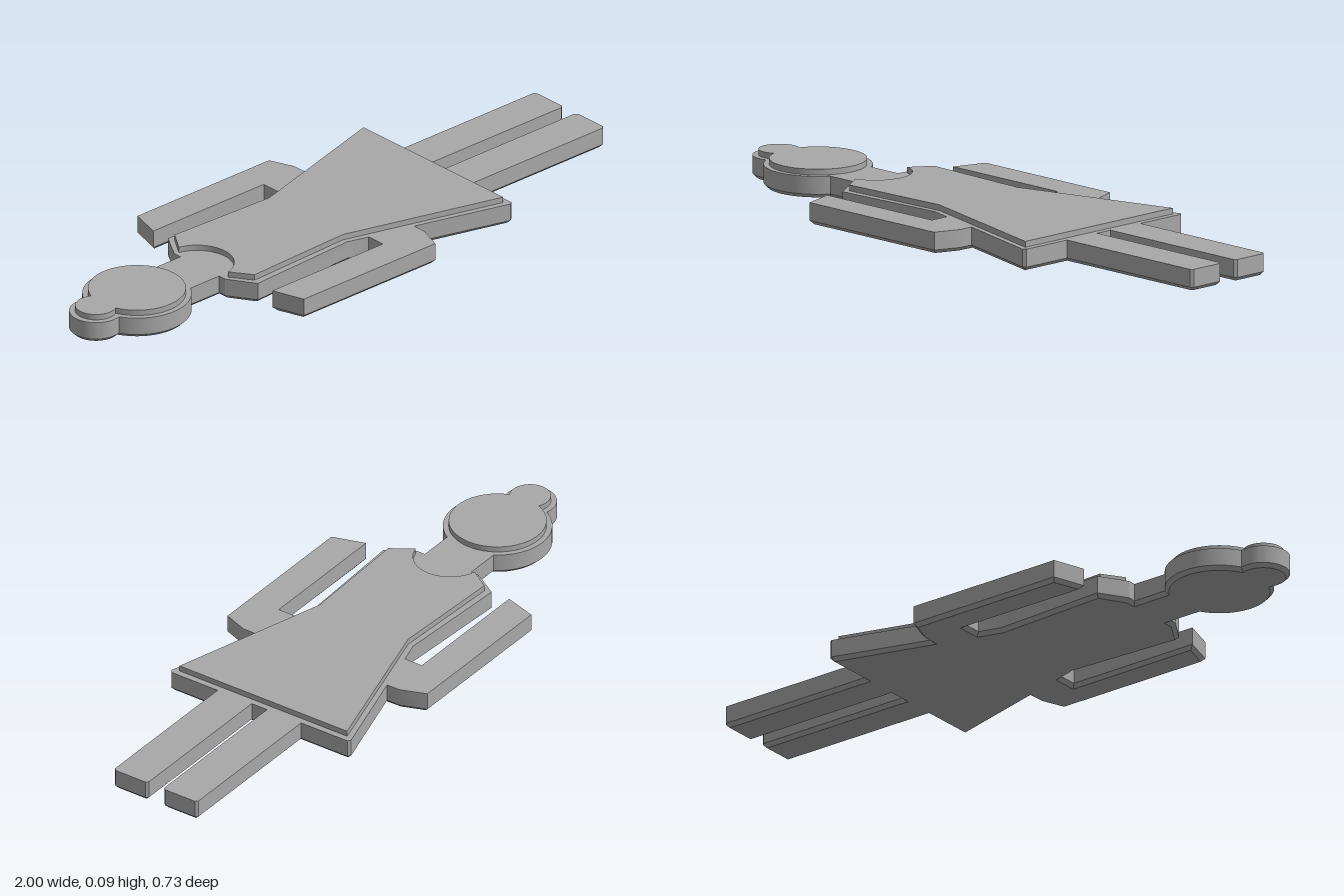
import * as THREE from 'three';
import { toCreasedNormals } from 'three/addons/utils/BufferGeometryUtils.js';

const BUN_X = -0.92, HEAD_X = -0.754;
const BASE_TOP = 0.067, RELIEF_TOP = 0.085, CHAMFER = 0.012;

// Points on an arc centred on the middle line, angles in radians
function arc(cx, r, from, to, steps) {
  return Array.from({ length: steps + 1 }, (_, i) => {
    const a = from + (to - from) * i / steps;
    return [cx + r * Math.cos(a), r * Math.sin(a)];
  });
}

// Half outline of bun and head joined, from bun tip to the given end angle on the head
function headHalf(bunR, headR, endAngle) {
  const d = HEAD_X - BUN_X;
  const a = (d * d + bunR * bunR - headR * headR) / (2 * d);
  const h = Math.sqrt(bunR * bunR - a * a);
  return [
    ...arc(BUN_X, bunR, Math.PI, Math.atan2(h, a), 16),
    ...arc(HEAD_X, headR, Math.atan2(h, a - d), endAngle, 32).slice(1),
  ];
}

// Closed shape from a half outline mirrored over the middle line
function mirrored(half) {
  const other = half.filter(p => Math.abs(p[1]) > 1e-4).reverse().map(([x, y]) => [x, -y]);
  return new THREE.Shape([...half, ...other].map(p => new THREE.Vector2(...p)));
}

// Lays an extrusion flat with its bottom at y
function layFlat(geometry, y) {
  geometry.rotateX(-Math.PI / 2).translate(0, y, 0);
  return toCreasedNormals(geometry, 0.4);
}

export function createModel() {
  const group = new THREE.Group();
  const grey = new THREE.MeshStandardMaterial({ color: 0xa8a8a8 });
  grey.name = 'grey';
  const add = (name, geometry) => {
    const mesh = new THREE.Mesh(geometry, grey);
    mesh.name = name;
    group.add(mesh);
  };

  // Base figure: head, neck, dress, arm and leg outline
  const figure = mirrored([
    ...headHalf(0.08, 0.163, Math.asin(0.085 / 0.163)),
    [-0.5, 0.085], [-0.5, 0.112], [-0.447, 0.198],           // neck, shoulder
    [-0.07, 0.18], [0, 0.2], [0, 0.262],                     // waist, armpit
    [-0.447, 0.262], [-0.415, 0.366], [0.117, 0.366],        // arm
    [0.147, 0.285], [0.147, 0.24], [0.455, 0.329], [0.465, 0.322], // skirt
    [0.465, 0.153], [0.99, 0.153], [0.998, 0.145],           // leg
    [0.998, 0.036], [0.99, 0.028], [0.465, 0.028],
  ]);
  const depth = BASE_TOP - CHAMFER;
  const base = new THREE.ExtrudeGeometry(figure, {
    depth, bevelThickness: CHAMFER, bevelSize: CHAMFER, bevelOffset: -CHAMFER, bevelSegments: 1,
  });
  // Flatten the upper bevel so only the bottom edge is chamfered
  const pos = base.attributes.position;
  for (let i = 0; i < pos.count; i++) pos.setZ(i, Math.min(pos.getZ(i), depth));
  add('figureBase', layFlat(base, CHAMFER));

  // Raised parts sit on the base
  const relief = (name, shape) => add(name, layFlat(
    new THREE.ExtrudeGeometry(shape, { depth: RELIEF_TOP - BASE_TOP, bevelEnabled: false }), BASE_TOP));

  // Hair with the round face left open
  const hair = mirrored(headHalf(0.062, 0.146, 0));
  hair.holes.push(new THREE.Path().absarc(HEAD_X, 0, 0.108, 0, Math.PI * 2, true));
  hair.curves.length && relief('hair', withDivisions(hair));

  // Dress with a round neckline
  relief('dress', mirrored([
    ...arc(-0.511, 0.111, 0, Math.atan2(0.108, 0.026), 20),
    [-0.44, 0.176], [-0.07, 0.162], [0.445, 0.307],
  ]));
  return group;
}

// Replaces curved holes by finely divided ones
function withDivisions(shape) {
  shape.holes = shape.holes.map(h => new THREE.Path(h.getPoints(48)));
  return shape;
}
